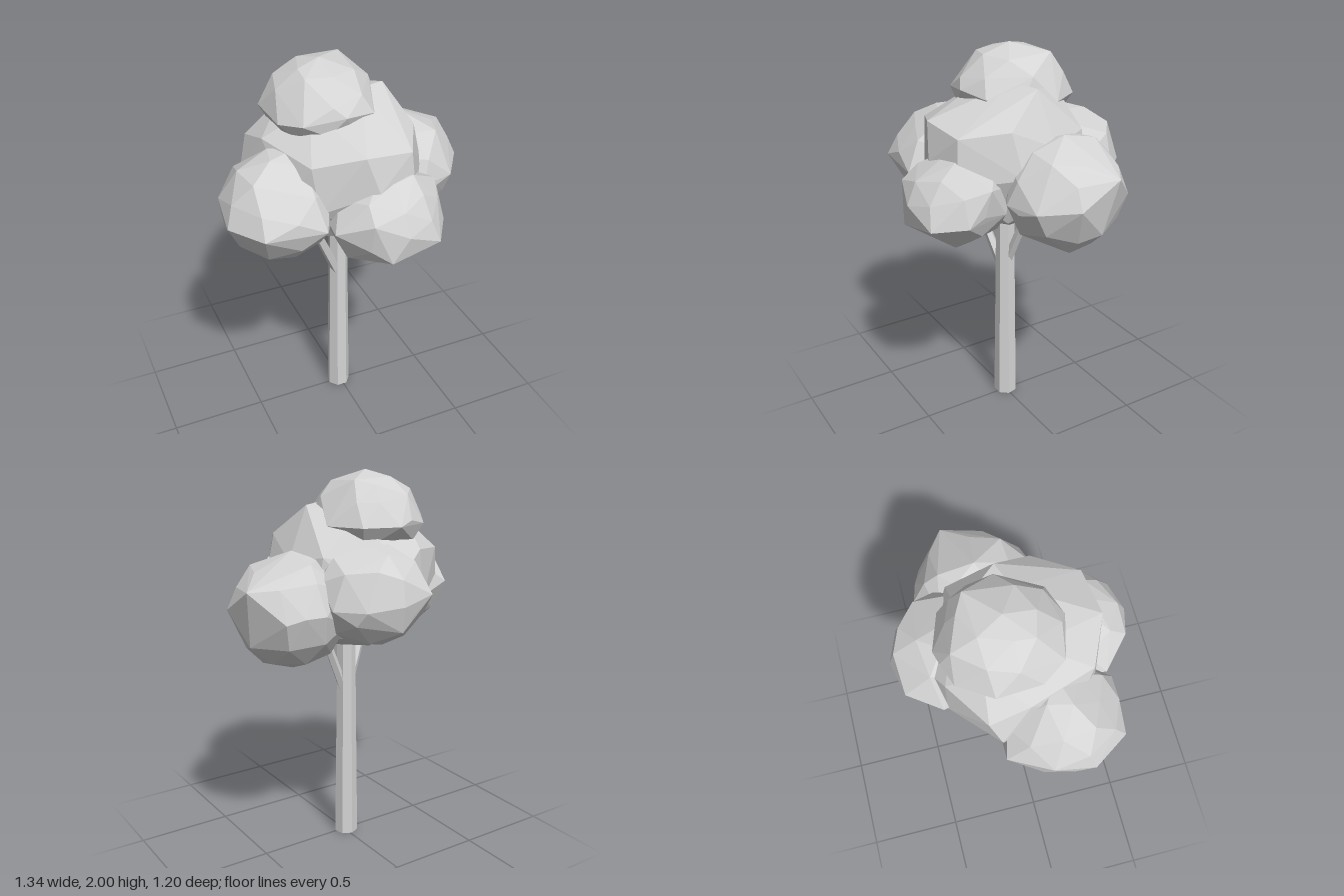
import * as THREE from 'three';
import { ConvexGeometry } from 'three/addons/geometries/ConvexGeometry.js';
import { mergeVertices } from 'three/addons/utils/BufferGeometryUtils.js';

const grey = new THREE.MeshStandardMaterial({ color: 0xd4d4d4, flatShading: true });
grey.name = 'pale grey';

const vec = (p) => new THREE.Vector3(...p);

function part(name, geo) {
  const mesh = new THREE.Mesh(geo, grey);
  mesh.name = name;
  return mesh;
}

// Faceted ball filling a box; the nearest vertices are pulled out to the given corners
function foliage(name, min, max, turn, corners) {
  const box = new THREE.Box3(vec(min), vec(max));
  const centre = box.getCenter(new THREE.Vector3());
  const half = box.getSize(new THREE.Vector3()).multiplyScalar(0.485);
  let ball = new THREE.IcosahedronGeometry(1, 1).rotateY(turn).rotateX(turn * 2);
  ball.deleteAttribute('normal');
  ball.deleteAttribute('uv');
  ball = mergeVertices(ball, 1e-3);
  const free = [];
  for (let i = 0; i < ball.attributes.position.count; i++) {
    free.push(new THREE.Vector3().fromBufferAttribute(ball.attributes.position, i).multiply(half).add(centre));
  }
  const points = corners.map(vec);
  for (const corner of points) {
    free.sort((a, b) => a.distanceTo(corner) - b.distanceTo(corner));
    free.shift();
  }
  return part(name, new ConvexGeometry([...points, ...free]));
}

// Large angular core of the crown
function middleFoliage() {
  const upper = [
    [0.24, 1.84, -0.03], [0.1, 1.85, 0.02], [-0.17, 1.8, 0.04], [-0.24, 1.76, -0.2], [0.08, 1.79, -0.24],
    [0.32, 1.68, 0.16], [0.2, 1.65, 0.38], [-0.05, 1.68, 0.41], [-0.28, 1.63, 0.31], [-0.4, 1.66, -0.02],
    [-0.42, 1.6, -0.22], [-0.2, 1.63, -0.37], [-0.07, 1.55, -0.44], [0.29, 1.62, -0.26], [0.36, 1.58, -0.06],
  ];
  const lower = [
    [0.385, 1.46, 0.13], [0.37, 1.33, -0.06], [0.22, 1.42, 0.4], [0.01, 1.5, 0.44], [-0.25, 1.4, 0.34],
    [-0.37, 1.45, 0.22], [-0.47, 1.45, -0.17], [-0.22, 1.38, -0.38], [0.12, 1.4, -0.4], [0.32, 1.4, -0.25],
    [0.27, 1.2, 0.15], [0.24, 1.2, -0.2], [0.03, 1.2, 0.32], [-0.26, 1.2, 0.2], [-0.32, 1.22, -0.15],
    [-0.05, 1.2, -0.32], [0.1, 1.1, 0.04], [-0.1, 1.11, 0.08], [-0.08, 1.1, -0.12],
  ];
  return part('middleFoliage', new ConvexGeometry([...upper, ...lower].map(vec)));
}

// Tapered limb between two points
function limb(name, from, to, r0, r1, sides) {
  const a = vec(from), b = vec(to);
  const dir = b.clone().sub(a);
  const geo = new THREE.CylinderGeometry(r1, r0, dir.length(), sides);
  geo.rotateY(Math.PI / sides);
  const mesh = part(name, geo);
  mesh.position.copy(a).add(b).multiplyScalar(0.5);
  mesh.quaternion.setFromUnitVectors(new THREE.Vector3(0, 1, 0), dir.normalize());
  return mesh;
}

export function createModel() {
  const tree = new THREE.Group();
  tree.name = 'tree';

  // Trunk and branches
  tree.add(
    limb('trunk', [-0.01, 0, -0.006], [-0.01, 1.3, -0.006], 0.064, 0.047, 7),
    limb('rightBranch', [-0.02, 0.8, 0.01], [-0.26, 1.33, 0.11], 0.027, 0.019, 5),
    limb('leftBranch', [0.01, 0.85, -0.01], [0.22, 1.33, -0.06], 0.026, 0.019, 5),
  );

  // Crown
  tree.add(
    middleFoliage(),
    foliage('topFoliage', [-0.36, 1.54, -0.39], [0.21, 2.0, 0.22], 0.3, [
      [-0.08, 2, -0.07], [0.08, 1.965, -0.21], [-0.2, 1.95, 0.05], [-0.31, 1.88, -0.05], [0.17, 1.88, -0.05],
      [-0.07, 1.75, -0.39], [0, 1.86, -0.31], [0.11, 1.75, -0.33], [0.21, 1.75, -0.17], [0.19, 1.77, 0.02],
      [0.1, 1.78, 0.17], [-0.06, 1.8, 0.22], [-0.26, 1.77, 0.17], [-0.34, 1.75, 0.05], [-0.36, 1.77, -0.17],
      [-0.25, 1.75, -0.33]]),
    foliage('rightFoliage', [-0.67, 1.1, -0.18], [-0.11, 1.65, 0.43], 0.7, [
      [-0.65, 1.42, 0.03], [-0.67, 1.36, 0.23], [-0.55, 1.36, 0.41], [-0.25, 1.35, 0.43], [-0.54, 1.4, -0.17],
      [-0.4, 1.64, 0.05], [-0.28, 1.65, 0.12], [-0.52, 1.15, 0.15], [-0.33, 1.1, 0.12], [-0.42, 1.54, 0.3]]),
    foliage('leftFoliage', [0.09, 1.06, -0.42], [0.67, 1.65, 0.22], 1.1, [
      [0.37, 1.64, -0.1], [0.67, 1.49, -0.21], [0.67, 1.37, 0], [0.63, 1.21, -0.15], [0.51, 1.09, -0.05],
      [0.37, 1.055, -0.1], [0.55, 1.35, 0.17], [0.37, 1.35, 0.22], [0.55, 1.35, -0.36], [0.37, 1.38, -0.42],
      [0.36, 1.58, 0.07], [0.37, 1.6, -0.28], [0.56, 1.55, -0.08]]),
    foliage('frontFoliage', [-0.21, 1.09, 0.05], [0.375, 1.55, 0.6], 0.5, [
      [0.375, 1.44, 0.3], [0.37, 1.27, 0.42], [0.27, 1.25, 0.57], [0.09, 1.33, 0.6], [0.01, 1.2, 0.585],
      [-0.07, 1.4, 0.55], [-0.21, 1.32, 0.42], [0.2, 1.54, 0.4], [0.02, 1.53, 0.38], [0.19, 1.1, 0.4],
      [0.04, 1.09, 0.3], [-0.13, 1.15, 0.38]]),
    foliage('backFoliage', [-0.23, 1.17, -0.6], [0.36, 1.69, -0.04], 0.9, [
      [-0.13, 1.45, -0.56], [0.06, 1.42, -0.6], [0.23, 1.4, -0.54], [0.34, 1.4, -0.42], [0.05, 1.54, -0.57],
      [0.05, 1.64, -0.45], [0.05, 1.29, -0.57], [-0.23, 1.4, -0.4]]),
  );
  return tree;
}
